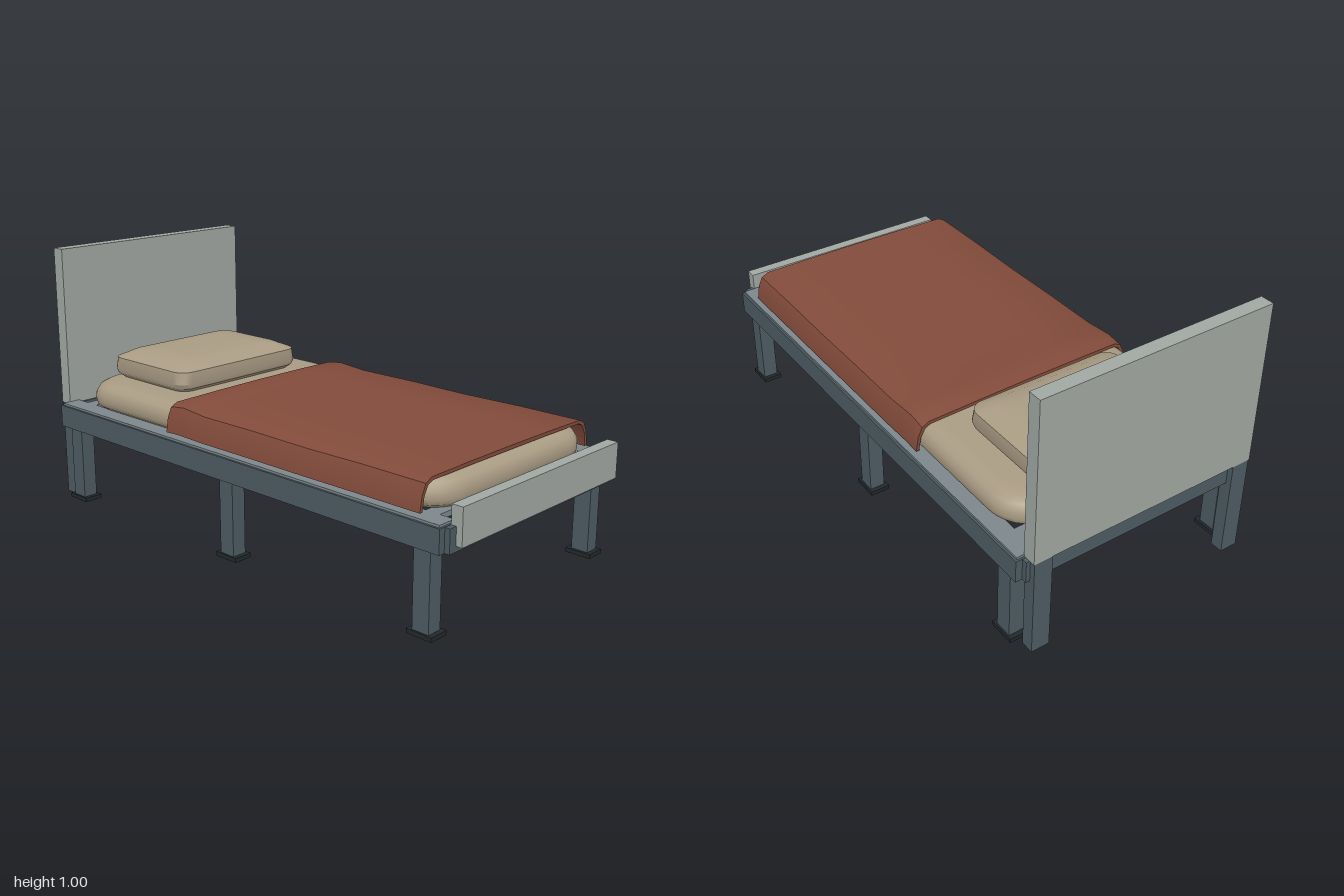
import * as THREE from 'three';
import { toCreasedNormals } from 'three/addons/utils/BufferGeometryUtils.js';

const mat = (name, color) => {
  const m = new THREE.MeshStandardMaterial({ color });
  m.name = name;
  return m;
};

// Skin through equal-length closed loops, with flat strip caps at both ends
function loft(loops, crease) {
  const n = loops[0].length, last = (loops.length - 1) * n, idx = [];
  for (let i = 0; i < loops.length - 1; i++) {
    for (let j = 0; j < n; j++) {
      const a = i * n + j, b = i * n + (j + 1) % n, c = b + n, d = a + n;
      idx.push(a, d, b, d, c, b);
    }
  }
  for (let k = 0; k < n / 2 - 1; k++) {
    const p = k, q = k + 1, r = n - 1 - k, s = n - 2 - k;
    idx.push(p, q, r, q, s, r);
    idx.push(last + q, last + p, last + r, last + q, last + r, last + s);
  }
  const g = new THREE.BufferGeometry();
  g.setAttribute('position', new THREE.Float32BufferAttribute(loops.flat(2), 3));
  g.setIndex(idx);
  return toCreasedNormals(g, crease);
}

// Horizontal rounded rectangle: half width, half length, corner radius, height
function roundedLoop([hx, hz, r, y], cz) {
  const pts = [], steps = 7;
  for (let q = 0; q < 4; q++) {
    const sx = q === 0 || q === 3 ? 1 : -1, sz = q < 2 ? 1 : -1;
    for (let i = 0; i <= steps; i++) {
      const a = (q + i / steps) * Math.PI / 2;
      pts.push([sx * (hx - r) + r * Math.cos(a), y, cz + sz * (hz - r) + r * Math.sin(a)]);
    }
  }
  return pts;
}
const cushion = (sections, cz, crease) => loft(sections.map(s => roundedLoop(s, cz)), crease);

export function createModel() {
  const group = new THREE.Group();
  const frame = mat('dark slate frame', 0x4d5c63);
  const slatGrey = mat('steel grey', 0x7d888c);
  const panel = mat('pale grey panel', 0xa1a8a2);
  const pad = mat('black foot', 0x22292b);
  const linen = mat('beige linen', 0xaa9c84);
  const wool = mat('rust blanket', 0x824b3b);

  const add = (name, geo, material) => {
    const mesh = new THREE.Mesh(geo, material);
    mesh.name = name;
    group.add(mesh);
    return mesh;
  };
  // Box given by its minimum and maximum on each axis
  const box = (name, material, x0, x1, y0, y1, z0, z1) => {
    const mesh = add(name, new THREE.BoxGeometry(x1 - x0, y1 - y0, z1 - z0), material);
    mesh.position.set((x0 + x1) / 2, (y0 + y1) / 2, (z0 + z1) / 2);
  };
  const boxSide = (s, name, m, x0, x1, ...yz) =>
    box(name, m, Math.min(s * x0, s * x1), Math.max(s * x0, s * x1), ...yz);

  // Side rails, ledges, legs and headboard posts
  for (const s of [-1, 1]) {
    boxSide(s, 'sideRail', frame, 0.42, 0.49, 0.295, 0.38, -0.957, 0.957);
    boxSide(s, 'railLedge', slatGrey, 0.41, 0.482, 0.372, 0.388, -0.95, 0.95);
    boxSide(s, 'headboardPost', frame, 0.38, 0.45, 0, 0.38, -0.999, -0.95);
    for (const z of [-0.88, 0, 0.882]) {
      boxSide(s, 'leg', frame, 0.42, 0.477, 0.01, 0.3, z - 0.033, z + 0.033);
      boxSide(s, 'footPad', pad, 0.41, 0.484, 0, 0.016, z - 0.05, z + 0.05);
    }
  }

  // End rails
  for (const s of [-1, 1]) {
    const z0 = s > 0 ? 0.943 : -0.977;
    box('endRail', frame, -0.465, 0.465, 0.296, 0.379, z0, z0 + 0.034);
  }

  // Slats under the mattress
  const slats = 10;
  for (let i = 0; i < slats; i++) {
    const z = -0.865 + 1.73 * i / (slats - 1);
    box('slat', slatGrey, -0.425, 0.425, 0.368, 0.387, z - 0.028, z + 0.028);
  }

  // Headboard and footboard
  box('headboard', panel, -0.453, 0.453, 0.38, 1, -1, -0.948);
  box('footboard', panel, -0.435, 0.435, 0.315, 0.446, 0.957, 1);

  // Mattress
  add('mattress', cushion([
    [0.415, 0.875, 0.13, 0.388],
    [0.436, 0.893, 0.15, 0.402],
    [0.442, 0.897, 0.155, 0.42],
    [0.44, 0.896, 0.155, 0.448],
    [0.428, 0.885, 0.15, 0.471],
    [0.405, 0.865, 0.14, 0.484],
    [0.37, 0.83, 0.13, 0.488],
  ], 0.007, 0.7), linen);

  // Pillow
  add('pillow', cushion([
    [0.285, 0.195, 0.05, 0.486],
    [0.305, 0.215, 0.055, 0.503],
    [0.311, 0.219, 0.055, 0.52],
    [0.305, 0.215, 0.055, 0.567],
    [0.25, 0.165, 0.05, 0.594],
    [0.18, 0.11, 0.04, 0.599],
  ], -0.638, 0.5), linen);

  // Blanket: a thick draped strip, slightly rumpled at its folded end
  const outer = [[0.464, 0.396], [0.455, 0.45], [0.438, 0.486], [0.41, 0.5], [0.2, 0.503], [0, 0.504]];
  const inner = [[0.452, 0.396], [0.444, 0.445], [0.427, 0.477], [0.405, 0.488], [0.2, 0.49], [0, 0.49]];
  const mirror = half => [
    ...half.map(([x, y]) => [-x, y]),
    ...half.slice(0, -1).reverse(),
  ];
  const section = [...mirror(outer), ...mirror(inner).reverse()];
  const stations = [[-0.34, 0], [-0.31, 0.005], [-0.27, 0.01], [-0.22, 0.006], [-0.15, 0],
    [0.1, 0.001], [0.35, -0.002], [0.6, 0.001], [0.86, 0]];
  add('blanket', loft(stations.map(([z, lift]) => section.map(([x, y]) => {
    const slant = z < 0 ? 0.015 * x * z / 0.34 : 0;
    return [x, y + lift * (y > 0.44 ? 1 : 0.3), z + slant];
  })), 0.6), wool);

  return group;
}
